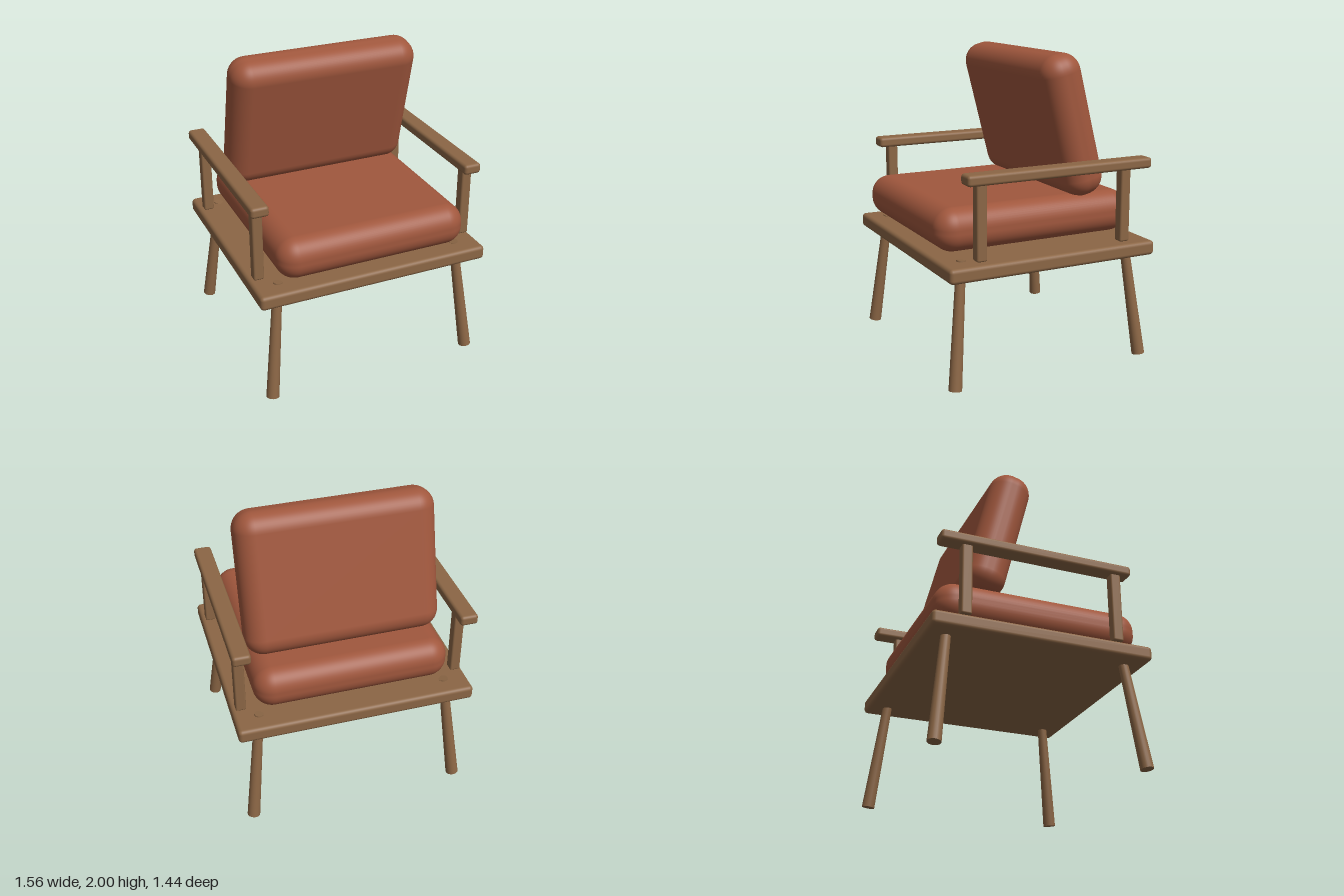
import * as THREE from 'three';
import { RoundedBoxGeometry } from 'three/addons/geometries/RoundedBoxGeometry.js';

const wood = new THREE.MeshStandardMaterial({ name: 'oak wood', color: 0x8b6645 });
const leather = new THREE.MeshStandardMaterial({ name: 'rust leather', color: 0xa0573d });

export function createModel() {
  const chair = new THREE.Group();
  chair.name = 'armchair';

  // Box with softened edges, given by its size and centre
  function softBox(name, material, [w, h, d], [x, y, z], radius, segments = 3) {
    const mesh = new THREE.Mesh(new RoundedBoxGeometry(w, h, d, segments, radius), material);
    mesh.name = name;
    mesh.position.set(x, y, z);
    chair.add(mesh);
    return mesh;
  }

  // Tapered round leg running from its foot to its top
  function leg(name, foot, top) {
    const axis = top.clone().sub(foot);
    const mesh = new THREE.Mesh(new THREE.CylinderGeometry(0.03, 0.042, axis.length(), 20), wood);
    mesh.name = name;
    mesh.position.copy(foot).add(top).multiplyScalar(0.5);
    mesh.quaternion.setFromUnitVectors(new THREE.Vector3(0, 1, 0), axis.normalize());
    chair.add(mesh);
  }

  // Seat platform and cushions
  softBox('seatPlatform', wood, [1.56, 0.094, 1.44], [0, 0.745, 0], 0.025);
  softBox('seatCushion', leather, [1.28, 0.275, 1.36], [0, 0.968, 0.04], 0.125, 7);
  const back = softBox('backCushion', leather, [1.28, 0.93, 0.275], [0, 1.54, -0.225], 0.122, 7);
  back.rotation.x = 0.25;

  // Armrests, their posts and the splayed legs, mirrored left and right
  for (const side of [1, -1]) {
    const label = side > 0 ? 'left' : 'right';
    softBox(label + 'Armrest', wood, [0.116, 0.068, 1.28], [side * 0.723, 1.307, -0.038], 0.02);
    for (const end of [1, -1]) {
      const place = label + (end > 0 ? 'Front' : 'Back');
      softBox(place + 'ArmPost', wood, [0.068, 0.48, 0.068], [side * 0.722, 1.048, end * 0.502], 0.012);
      leg(place + 'Leg',
        new THREE.Vector3(side * 0.708, 0.007, end * 0.667),
        new THREE.Vector3(side * 0.62, 0.796, end * 0.58));
    }
  }
  return chair;
}
